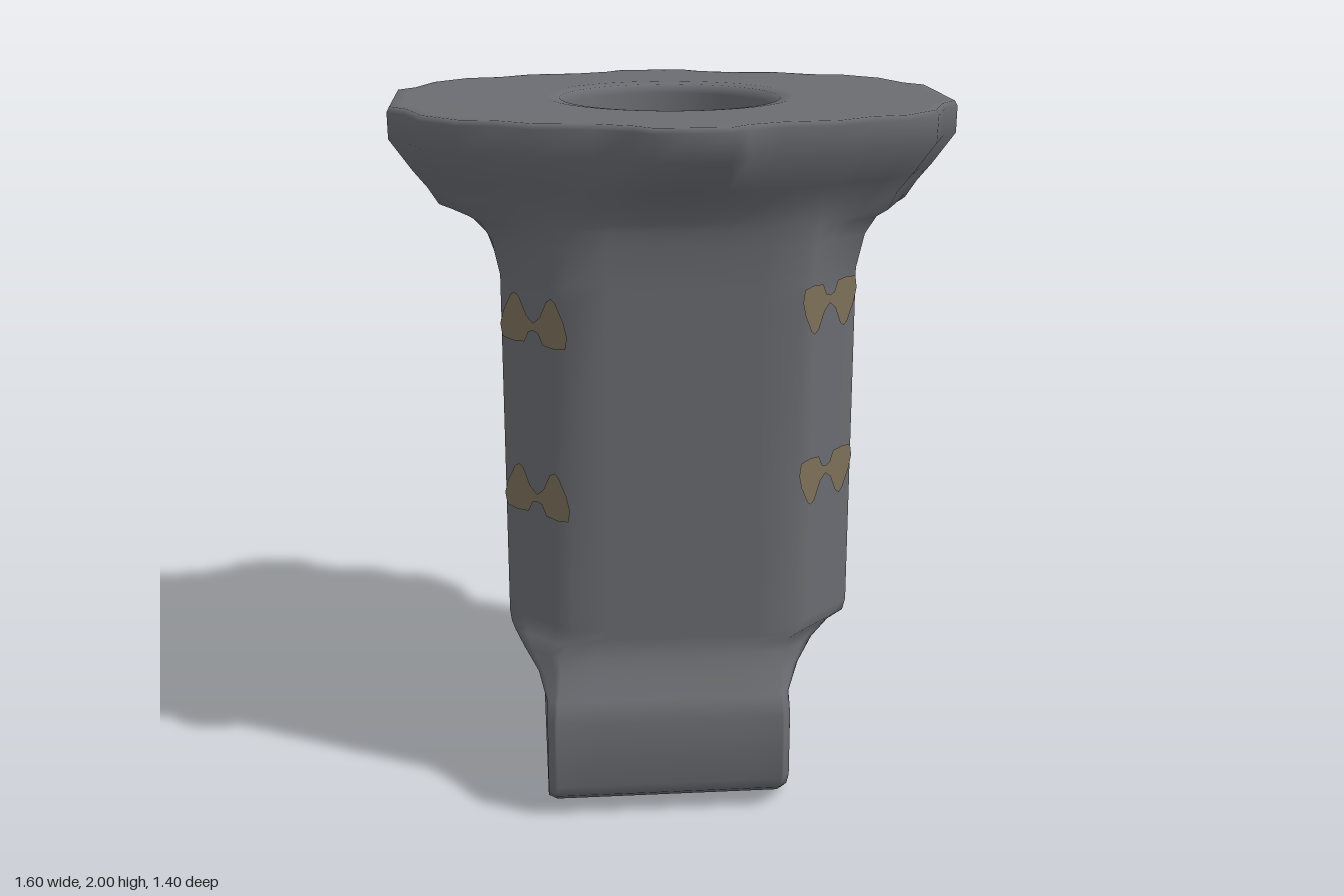
import * as THREE from 'three';

const steel = new THREE.MeshStandardMaterial({ color: 0x6a6c71 });
steel.name = 'grey metal';
const brass = new THREE.MeshStandardMaterial({ color: 0x7d7059 });
brass.name = 'dull brass';

// Quarter of the scalloped flange outline, from the +x side to the +z side
const scallop = [
  [0.8, 0], [0.8, 0.2], [0.75, 0.26], [0.7, 0.4], [0.6, 0.5], [0.5, 0.52],
  [0.4, 0.59], [0.25, 0.605], [0.15, 0.65], [0.1, 0.7], [0, 0.7],
];

// Quarter of a rectangle with a chamfered corner, 11 points
function chamferQuarter(hx, hz, c) {
  const q = [];
  for (let k = 0; k <= 3; k++) q.push([hx, (hz - c) * k / 3]);
  for (let k = 1; k <= 4; k++) q.push([hx - c * k / 4, hz - c + c * k / 4]);
  for (let k = 1; k <= 3; k++) q.push([(hx - c) * (1 - k / 3), hz]);
  return q;
}

// Mirrors a quarter outline into a closed ring of 40 points
function ring(quarter, y, cx = 0, cz = 0) {
  const pts = [];
  [[1, 1], [-1, 1], [-1, -1], [1, -1]].forEach(([sx, sz], n) => {
    for (let i = 0; i < 10; i++) {
      const p = quarter[n % 2 ? 10 - i : i];
      pts.push([cx + sx * p[0], y, cz + sz * p[1]]);
    }
  });
  return pts;
}

function boxRing(y, x0, x1, z0, z1, c) {
  return ring(chamferQuarter((x1 - x0) / 2, (z1 - z0) / 2, c), y, (x0 + x1) / 2, (z0 + z1) / 2);
}

function roundRing(y, r) {
  const quarter = [];
  for (let i = 0; i <= 10; i++) {
    const a = i * Math.PI / 20;
    quarter.push([r * Math.cos(a), r * Math.sin(a)]);
  }
  return ring(quarter, y);
}

// Blends the shaft into the flange at separate rates along x and z
function flangeRing(y, tx, tz, scale = 1) {
  const shaft = chamferQuarter(0.5, 0.5, 0.18);
  return ring(shaft.map((p, i) => {
    const w = Math.cos(Math.atan2(scallop[i][1], scallop[i][0])) ** 4;
    const t = tz + (tx - tz) * w;
    return [0, 1].map((k) => scale * (p[k] + (scallop[i][k] - p[k]) * t));
  }), y);
}

// Skins a stack of rings
function loft(rings) {
  const n = rings[0].length;
  const index = [];
  for (let r = 0; r < rings.length - 1; r++) {
    for (let i = 0; i < n; i++) {
      const a = r * n + i, b = r * n + (i + 1) % n;
      index.push(a, a + n, b, b, a + n, b + n);
    }
  }
  const g = new THREE.BufferGeometry();
  g.setAttribute('position', new THREE.Float32BufferAttribute(rings.flat(2), 3));
  g.setIndex(index);
  g.computeVertexNormals();
  return g;
}

// Two-lobed inlay plate, standing upright or upside down
function inlayGeometry(flip) {
  const half = [
    [0, 0.04], [0.018, 0.035], [0.035, 0.004], [0.08, 0], [0.12, 0.006],
    [0.128, 0.04], [0.115, 0.08], [0.085, 0.13], [0.07, 0.14], [0.052, 0.13],
    [0.025, 0.08], [0, 0.062],
  ];
  const mirrored = half.slice(1, -1).reverse().map(([x, y]) => [-x, y]);
  const pts = [...half, ...mirrored].map(([x, y]) => new THREE.Vector2(x, flip ? 0.07 - y : y - 0.07));
  return new THREE.ShapeGeometry(new THREE.Shape(pts));
}

export function createModel() {
  const model = new THREE.Group();
  model.name = 'flangedPeg';

  const rings = [
    // Offset foot with a bulging toe
    boxRing(0, -0.05, -0.05, 0.05, 0.05, 0),
    boxRing(0, -0.37, 0.27, -0.37, 0.48, 0.02),
    boxRing(0.015, -0.4, 0.3, -0.395, 0.51, 0.025),
    boxRing(0.05, -0.4, 0.3, -0.4, 0.56, 0.025),
    boxRing(0.1, -0.4, 0.3, -0.4, 0.6, 0.025),
    boxRing(0.3, -0.4, 0.3, -0.4, 0.6, 0.025),
    boxRing(0.35, -0.4, 0.3, -0.4, 0.565, 0.03),
    boxRing(0.41, -0.42, 0.335, -0.43, 0.53, 0.06),
    boxRing(0.46, -0.46, 0.385, -0.465, 0.505, 0.1),
    boxRing(0.495, -0.485, 0.44, -0.485, 0.5, 0.14),
    boxRing(0.51, -0.495, 0.49, -0.495, 0.5, 0.17),
    // Chamfered shaft
    ...[0.54, 0.6, 1, 1.5, 1.55].map((y) => flangeRing(y, 0, 0)),
    // Scalloped flange
    flangeRing(1.65, 0.17, 0.02),
    flangeRing(1.7, 0.38, 0.08),
    flangeRing(1.72, 0.62, 0.1),
    flangeRing(1.77, 0.72, 0.22),
    flangeRing(1.82, 0.83, 0.5),
    flangeRing(1.91, 1, 0.97),
    flangeRing(1.985, 1, 1),
    flangeRing(2, 1, 1, 0.99),
    flangeRing(2, 1, 1, 0.95),
    // Round socket in the top
    ...[[2, 0.36], [1.995, 0.32], [1.97, 0.3], [1.65, 0.3], [1.56, 0.27],
      [1.49, 0.2], [1.45, 0.1], [1.44, 0]].map(([y, r]) => roundRing(y, r)),
  ];
  const body = new THREE.Mesh(loft(rings), steel);
  body.name = 'body';
  model.add(body);

  // Pairs of inlays on the four chamfers
  const d = 0.41 + 0.003;
  for (const sx of [1, -1]) for (const sz of [1, -1]) {
    const flip = sx === sz;
    const geometry = inlayGeometry(flip);
    for (const y of [0.94, 1.44]) {
      const inlay = new THREE.Mesh(geometry, brass);
      inlay.name = 'inlay';
      inlay.position.set(sx * d, y + (flip ? 0.025 : 0), sz * d);
      inlay.rotation.y = Math.atan2(sx, sz);
      model.add(inlay);
    }
  }
  return model;
}
